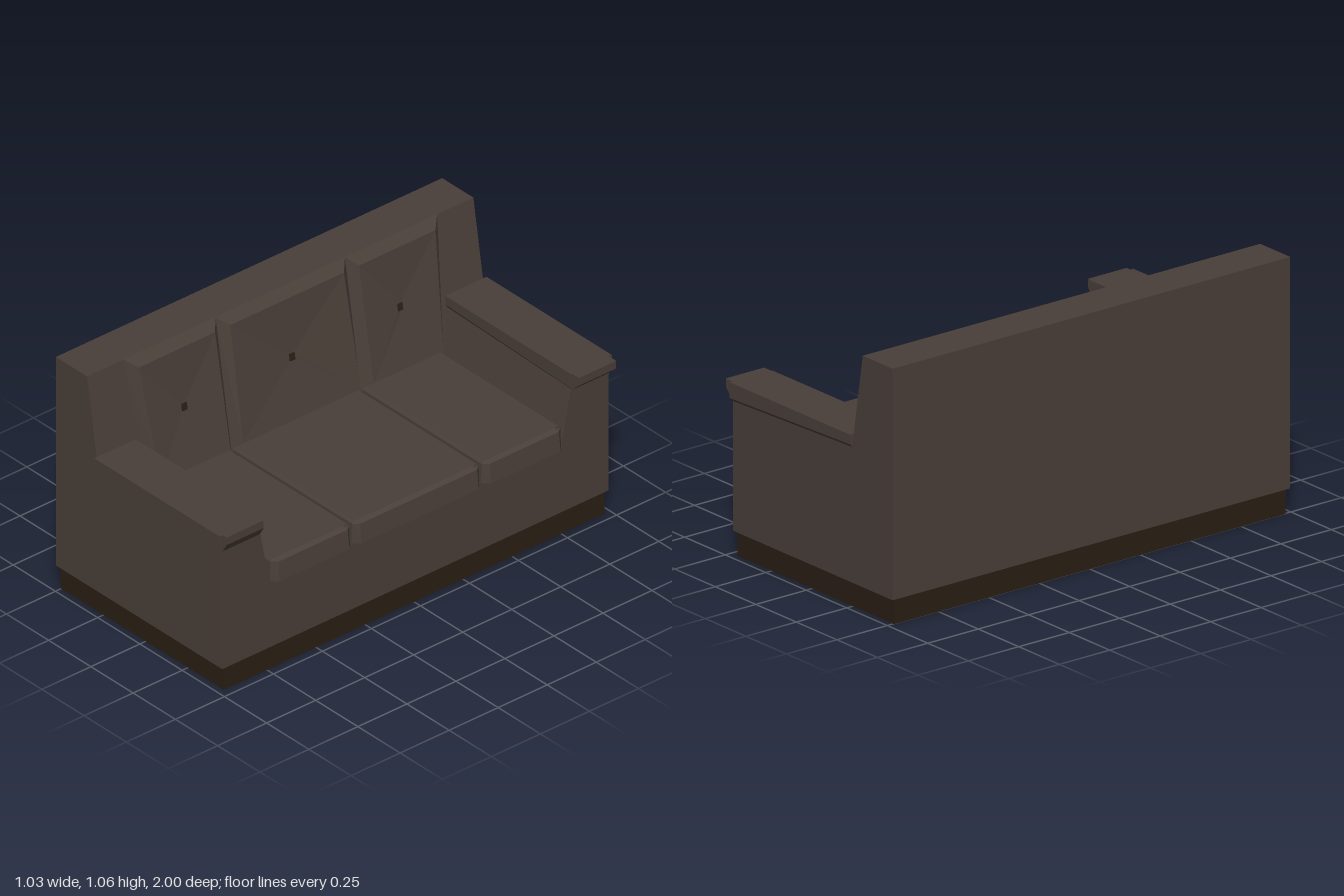
import * as THREE from 'three';

const fabric = new THREE.MeshStandardMaterial({ color: 0x4a3f39, flatShading: true });
const wood = new THREE.MeshStandardMaterial({ color: 0x2a1f14, flatShading: true });

function polygon(points) {
  return new THREE.Shape(points.map(([a, b]) => new THREE.Vector2(a, b)));
}

// Skins a list of equal-sized rings of [x, y, z] corners and caps both ends.
function loft(rings) {
  const n = rings[0].length;
  let tris = [];
  for (let r = 0; r + 1 < rings.length; r++) {
    for (let i = 0; i < n; i++) {
      const j = (i + 1) % n;
      const a = rings[r][i], b = rings[r][j], c = rings[r + 1][j], d = rings[r + 1][i];
      tris.push([a, b, c], [a, c, d]);
    }
  }
  const last = rings[rings.length - 1];
  for (let i = 1; i + 1 < n; i++) {
    tris.push([rings[0][0], rings[0][i + 1], rings[0][i]], [last[0], last[i], last[i + 1]]);
  }
  // Turn the faces outwards if the enclosed volume is negative
  const v = (p) => new THREE.Vector3(...p);
  const volume = tris.reduce((s, [a, b, c]) => s + v(a).dot(v(b).cross(v(c))), 0);
  if (volume < 0) tris = tris.map(([a, b, c]) => [a, c, b]);
  const geometry = new THREE.BufferGeometry();
  geometry.setAttribute('position', new THREE.Float32BufferAttribute(tris.flat(2), 3));
  geometry.computeVertexNormals();
  return geometry;
}

export function createModel() {
  const sofa = new THREE.Group();
  sofa.name = 'sofa';
  const add = (name, geometry, material = fabric) => {
    const mesh = new THREE.Mesh(geometry, material);
    mesh.name = name;
    sofa.add(mesh);
    return mesh;
  };

  // Plinth: a frame open below, closed by a slightly recessed panel
  const rect = (x0, x1, z) => [[x0, -z], [x1, -z], [x1, z], [x0, z]];
  const frame = polygon(rect(-0.505, 0.462, 0.97));
  frame.holes.push(polygon(rect(-0.445, 0.402, 0.91)));
  const plinth = new THREE.ExtrudeGeometry(frame, { depth: 0.11, bevelEnabled: false });
  add('plinth', plinth.rotateX(-Math.PI / 2), wood);
  const panel = add('undersidePanel', new THREE.BoxGeometry(0.86, 0.03, 1.83));
  panel.position.set(-0.0215, 0.04, 0);

  // Seat base and both arms: a U-shaped front outline run from back to front
  const outline = polygon([
    [-0.985, 0.105], [0.985, 0.105], [0.985, 0.69], [0.8, 0.69], [0.745, 0.41],
    [-0.745, 0.41], [-0.8, 0.69], [-0.985, 0.69],
  ]);
  const body = new THREE.ExtrudeGeometry(outline, { depth: 0.74, bevelEnabled: false });
  add('seatBaseAndArms', body.rotateY(Math.PI / 2).translate(-0.27, 0, 0));

  // Backrest with a raked front
  const rakeX = (y) => -0.33 + 0.165 * (1.06 - y);
  const side = polygon([
    [-0.515, 0.105], [-0.27, 0.105], [-0.27, 0.4], [rakeX(0.4), 0.4],
    [-0.33, 1.06], [-0.515, 1.06],
  ]);
  const back = new THREE.ExtrudeGeometry(side, { depth: 1.97, bevelEnabled: false });
  add('backrest', back.translate(0, 0, -0.985));

  // Arm pads: overhanging slab, thicker towards the front, with a front lip
  for (const [s, name, lipX] of [[1, 'left', 0.495], [-1, 'right', 0.515]]) {
    const section = (x, lip, low) => [
      [x, 0.72, s], [x, lip, s], [x, low, s * 0.985],
      [x, low, s * 0.797], [x, lip, s * 0.79], [x, 0.72, s * 0.79],
    ];
    add(name + 'ArmPad', loft([section(-0.27, 0.68, 0.665), section(0.472, 0.655, 0.64)]));
    const lipRing = (z) => [
      [0.46, 0.72, z], [lipX, 0.72, z], [lipX, 0.685, z], [0.47, 0.642, z], [0.46, 0.642, z],
    ];
    add(name + 'ArmPadLip', loft([lipRing(s * 0.985), lipRing(s * 0.795)]));
  }

  // Seat cushions: chamfered front corners and softened top edge
  const seatRing = (y, x, z0, z1, inset) => {
    const a = z0 + inset, b = z1 - inset, c = Math.min(x, 0.47);
    return [
      [-0.25, y, a], [c, y, a], [x, y, a + 0.025],
      [x, y, b - 0.025], [c, y, b], [-0.25, y, b],
    ];
  };
  const seats = [['right', -0.743, -0.334], ['middle', -0.326, 0.326], ['left', 0.334, 0.743]];
  for (const [name, z0, z1] of seats) {
    add(name + 'SeatCushion', loft([
      seatRing(0.408, 0.497, z0, z1, 0),
      seatRing(0.495, 0.49, z0, z1, 0.004),
      seatRing(0.506, 0.472, z0, z1, 0.014),
    ]));
  }

  // Back cushions: bevelled border, face sinking to a centre button
  const quad = (yTop, xTop, [a, b], yLow, xLow, [c, d]) => [
    [xTop, yTop, a], [xTop, yTop, b], [xLow, yLow, d], [xLow, yLow, c],
  ];
  const backCushion = (name, baseTop, baseLow, faceTop, faceLow, z) => {
    add(name + 'BackCushion', loft([
      quad(1.06, -0.33, baseTop, 0.5, rakeX(0.5), baseLow),
      quad(1.025, -0.29, faceTop, 0.53, -0.2, faceLow),
      quad(0.79, -0.264, [z - 0.012, z + 0.012], 0.76, -0.26, [z - 0.012, z + 0.012]),
    ]));
    const button = add(name + 'Button', new THREE.BoxGeometry(0.01, 0.03, 0.024), wood);
    button.position.set(-0.261, 0.775, z);
    button.rotation.z = 0.17;
  };
  backCushion('middle', [-0.33, 0.33], [-0.33, 0.33], [-0.29, 0.29], [-0.3, 0.3], 0);
  for (const [s, name] of [[1, 'left'], [-1, 'right']]) {
    const span = (a, b) => [s * a, s * b];
    backCushion(name, span(0.33, 0.8), span(0.33, 0.75), span(0.367, 0.757),
      span(0.365, 0.72), s * 0.55);
  }
  return sofa;
}
